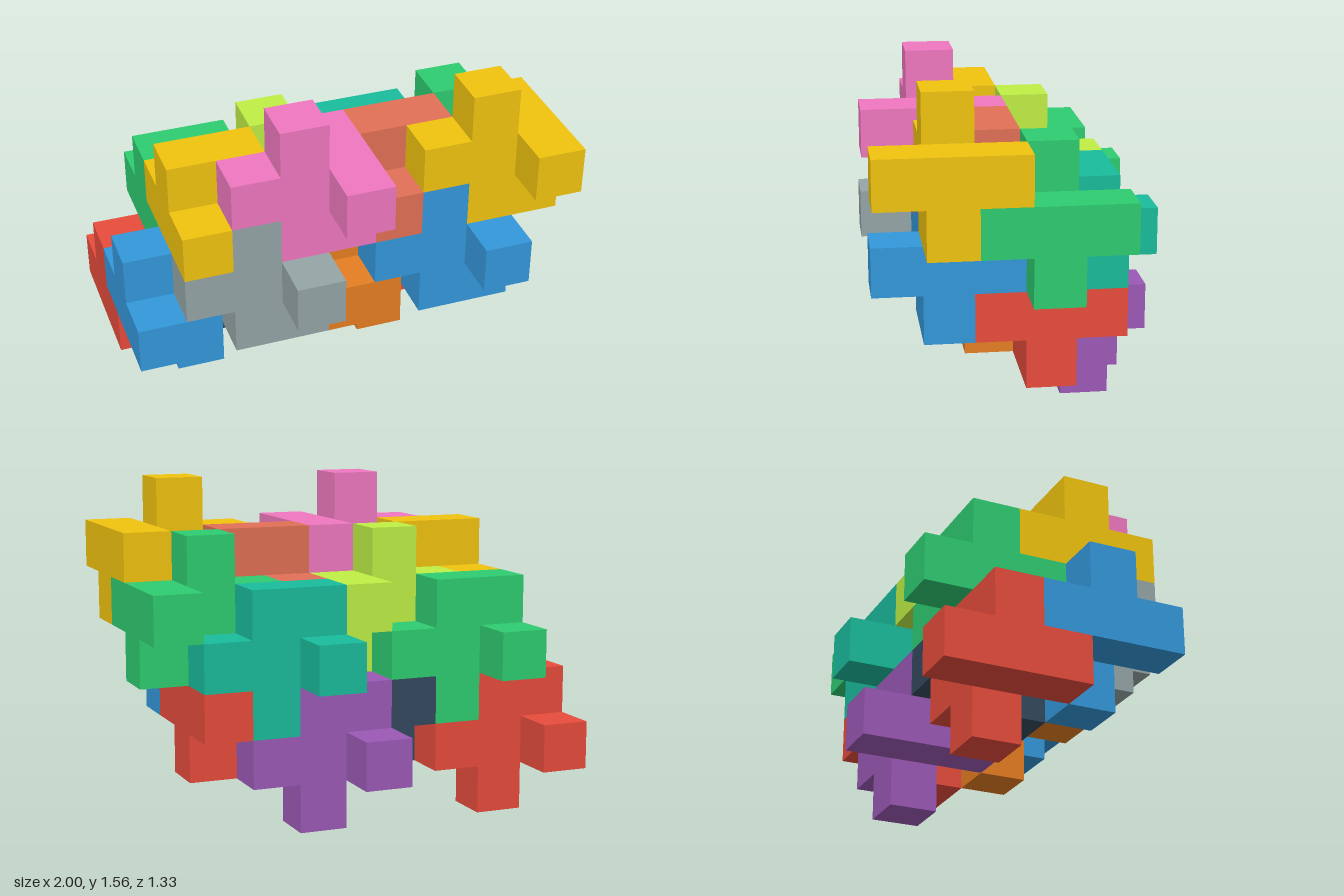
import * as THREE from 'three';
import { mergeGeometries } from 'three/addons/utils/BufferGeometryUtils.js';

const U = 2 / 9; // edge of one cube cell

// One eight-cube puzzle piece, centred on its hub cell
function pieceGeometry() {
  // Flat six-cell body
  const outline = [
    [-0.5, -1.5], [1.5, -1.5], [1.5, 0.5], [0.5, 0.5], [0.5, 1.5],
    [-0.5, 1.5], [-0.5, 0.5], [-1.5, 0.5], [-1.5, -0.5], [-0.5, -0.5],
  ].map(([x, y]) => new THREE.Vector2(x, y));
  const body = new THREE.ExtrudeGeometry(new THREE.Shape(outline), { depth: 1, bevelEnabled: false });
  body.translate(0, 0, -0.5);
  // Front and back prongs
  const prongs = [-1, 1].map((z) => new THREE.BoxGeometry(1, 1, 1).translate(1, 0, z).toNonIndexed());
  return mergeGeometries([body, ...prongs]).scale(U, U, U);
}

// Layers from back to front; every other layer is turned half round.
// Each piece: name, hub column, hub row, colour
const LAYERS = [
  { depth: 1, turned: true, pieces: [
    ['backUpperRight', 2, 3, 0x2ecc71],
    ['backUpperLeft', 6, 3, 0x1abc9c],
    ['backLowerRight', 1, 1, 0xe74c3c],
    ['backLowerLeft', 5, 1, 0x9b59b6],
  ] },
  { depth: 2, turned: false, pieces: [
    ['midBackUpperRight', 3, 4, 0xbfef45],
    ['midBackUpperLeft', 7, 4, 0x2ecc71],
    ['midBackLowerRight', 2, 2, 0x34495e],
    ['midBackLowerLeft', 6, 2, 0xe74c3c],
  ] },
  { depth: 3, turned: true, pieces: [
    ['midFrontUpperRight', 2, 4, 0xf1c40f],
    ['midFrontUpperLeft', 6, 4, 0xe17055],
    ['midFrontLowerRight', 1, 2, 0x3498db],
    ['midFrontLowerLeft', 5, 2, 0xe67e22],
  ] },
  { depth: 4, turned: false, pieces: [
    ['frontUpperRight', 3, 5, 0xf078c0],
    ['frontUpperLeft', 7, 5, 0xf1c40f],
    ['frontLowerRight', 2, 3, 0x95a5a6],
    ['frontLowerLeft', 6, 3, 0x3498db],
  ] },
];

export function createModel() {
  const model = new THREE.Group();
  model.name = 'interlockingPuzzle';
  const geometry = pieceGeometry();
  for (const { depth, turned, pieces } of LAYERS) {
    for (const [name, column, row, color] of pieces) {
      const piece = new THREE.Mesh(geometry, new THREE.MeshStandardMaterial({ color }));
      piece.name = name + 'Piece';
      piece.position.set((column - 4) * U, (row + 0.5) * U, (depth - 2.5) * U);
      if (turned) piece.rotation.z = Math.PI;
      model.add(piece);
    }
  }
  return model;
}
